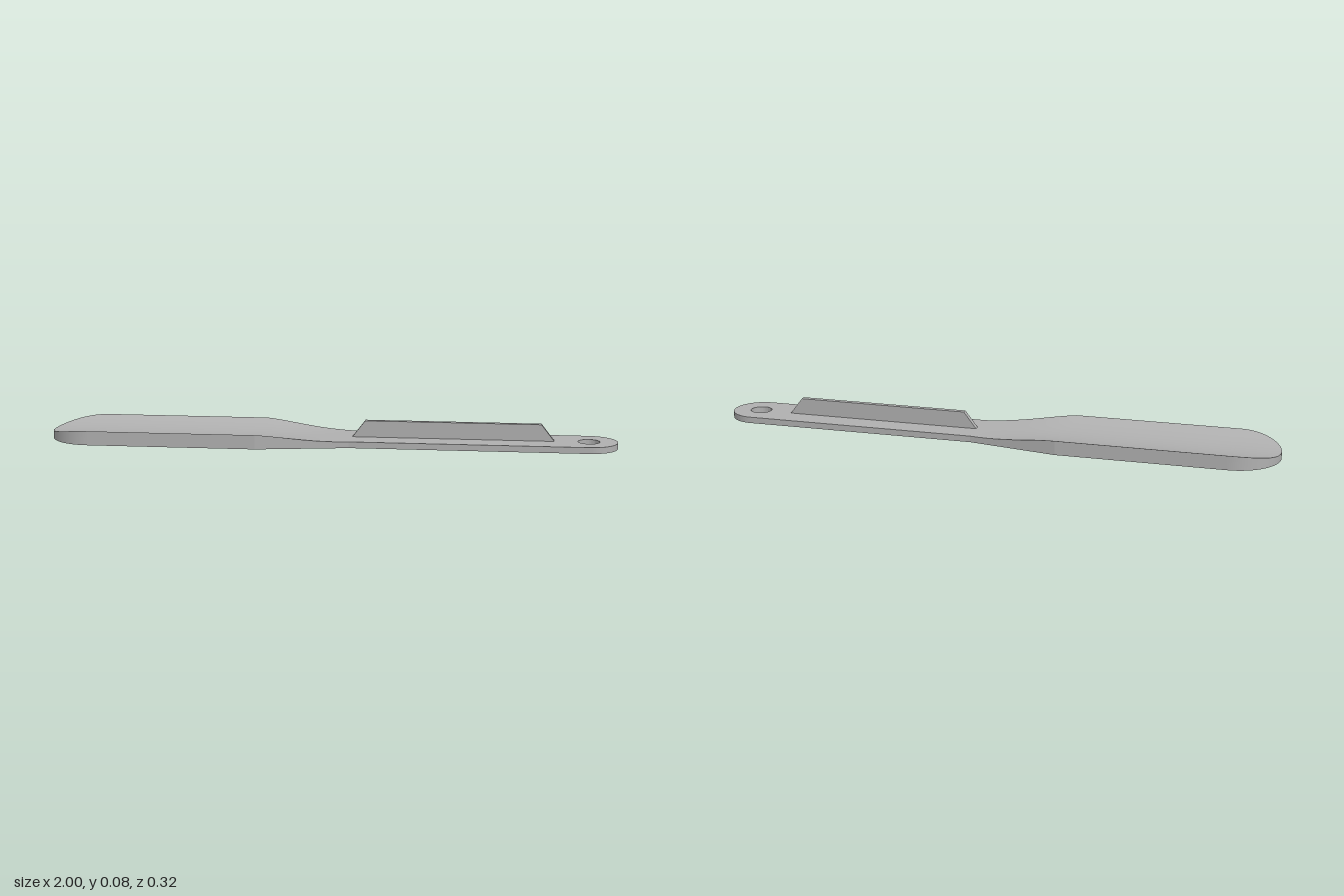
import * as THREE from 'three';
import { mergeGeometries, toCreasedNormals } from 'three/addons/utils/BufferGeometryUtils.js';

const THICK = 0.022;                      // handle thickness
const TIP = -0.84, NECK = -0.25, GRIP = 0.07; // where the outline changes along x
const BLADE_W = 0.16, GRIP_W = 0.1;       // half widths

// half width of the outline at x
function halfWidth(x) {
  if (x < TIP) return BLADE_W * Math.sqrt(Math.max(0, 1 - ((x - TIP) / (-1 - TIP)) ** 2));
  if (x < NECK) return BLADE_W;
  return THREE.MathUtils.mapLinear(x, NECK, GRIP, BLADE_W, GRIP_W);
}

// height of the scooped top: a trough that fades out along the neck
function topY(x, z) {
  const k = 1 - THREE.MathUtils.smoothstep(x, NECK, GRIP);
  return THICK + k * (0.003 + 0.025 * (z / BLADE_W) ** 2);
}

// smooth sheet from a rule f(u, v) -> [x, y, z]; it faces du x dv
function sheet(f, nu, nv) {
  const pos = [], index = [];
  for (let i = 0; i <= nu; i++) for (let j = 0; j <= nv; j++) pos.push(...f(i / nu, j / nv));
  for (let i = 0; i < nu; i++) for (let j = 0; j < nv; j++) {
    const a = i * (nv + 1) + j, b = a + nv + 1;
    index.push(a, b, b + 1, a, b + 1, a + 1);
  }
  const g = new THREE.BufferGeometry();
  g.setAttribute('position', new THREE.Float32BufferAttribute(pos, 3));
  g.setIndex(index);
  g.computeVertexNormals();
  return g;
}

// closed top, bottom and both edges of one stretch of the blade
function stretch(xAt, n) {
  const z = (x, v) => (2 * v - 1) * halfWidth(x);
  const parts = [
    sheet((u, v) => { const x = xAt(v); return [x, topY(x, z(x, u)), z(x, u)]; }, 24, n),
    sheet((u, v) => { const x = xAt(u); return [x, 0, z(x, v)]; }, n, 2),
  ];
  for (const s of [1, -1]) {
    parts.push(sheet((u, v) => {
      const x = xAt(u), w = halfWidth(x);
      return [x, (s > 0 ? v : 1 - v) * topY(x, w), s * w];
    }, n, 1));
  }
  return mergeGeometries(parts);
}

// flat outline raised to a height along y
function slab(shape, depth) {
  return new THREE.ExtrudeGeometry(shape, { depth, bevelEnabled: false, curveSegments: 32 });
}

export function createModel() {
  const group = new THREE.Group();
  const grey = new THREE.MeshStandardMaterial({ color: 0xb0b0b0 });
  grey.name = 'grey';
  const add = (name, geometry) => {
    const mesh = new THREE.Mesh(geometry, grey);
    mesh.name = name;
    group.add(mesh);
  };
  const lerp = THREE.MathUtils.lerp;

  // scooped blade with round tip, and the neck that flattens into the handle
  add('bladeTip', stretch(t => TIP + (-1 - TIP) * Math.cos(t * Math.PI / 2), 24));
  add('blade', stretch(t => lerp(TIP, NECK, t), 4));
  add('neck', stretch(t => lerp(NECK, GRIP, t), 20));

  // flat handle with round end and hanging hole
  const outline = new THREE.Shape();
  outline.moveTo(GRIP, -GRIP_W);
  outline.lineTo(0.9, -GRIP_W);
  outline.absarc(0.9, 0, GRIP_W, -Math.PI / 2, Math.PI / 2, false);
  outline.lineTo(GRIP, GRIP_W);
  outline.closePath();
  const hole = new THREE.Path();
  hole.absarc(0.9, 0, 0.038, 0, Math.PI * 2, true);
  outline.holes.push(hole);
  add('handle', toCreasedNormals(slab(outline, THICK).rotateX(-Math.PI / 2), 0.5));

  // upright grip fin with sloped ends
  const fin = new THREE.Shape([
    [0.07, 0.015], [0.78, 0.015], [0.78, THICK], [0.735, 0.08], [0.12, 0.08], [0.075, THICK],
  ].map(([x, y]) => new THREE.Vector2(x, y)));
  add('gripFin', slab(fin, 0.02).translate(0, 0, -0.01));

  return group;
}
